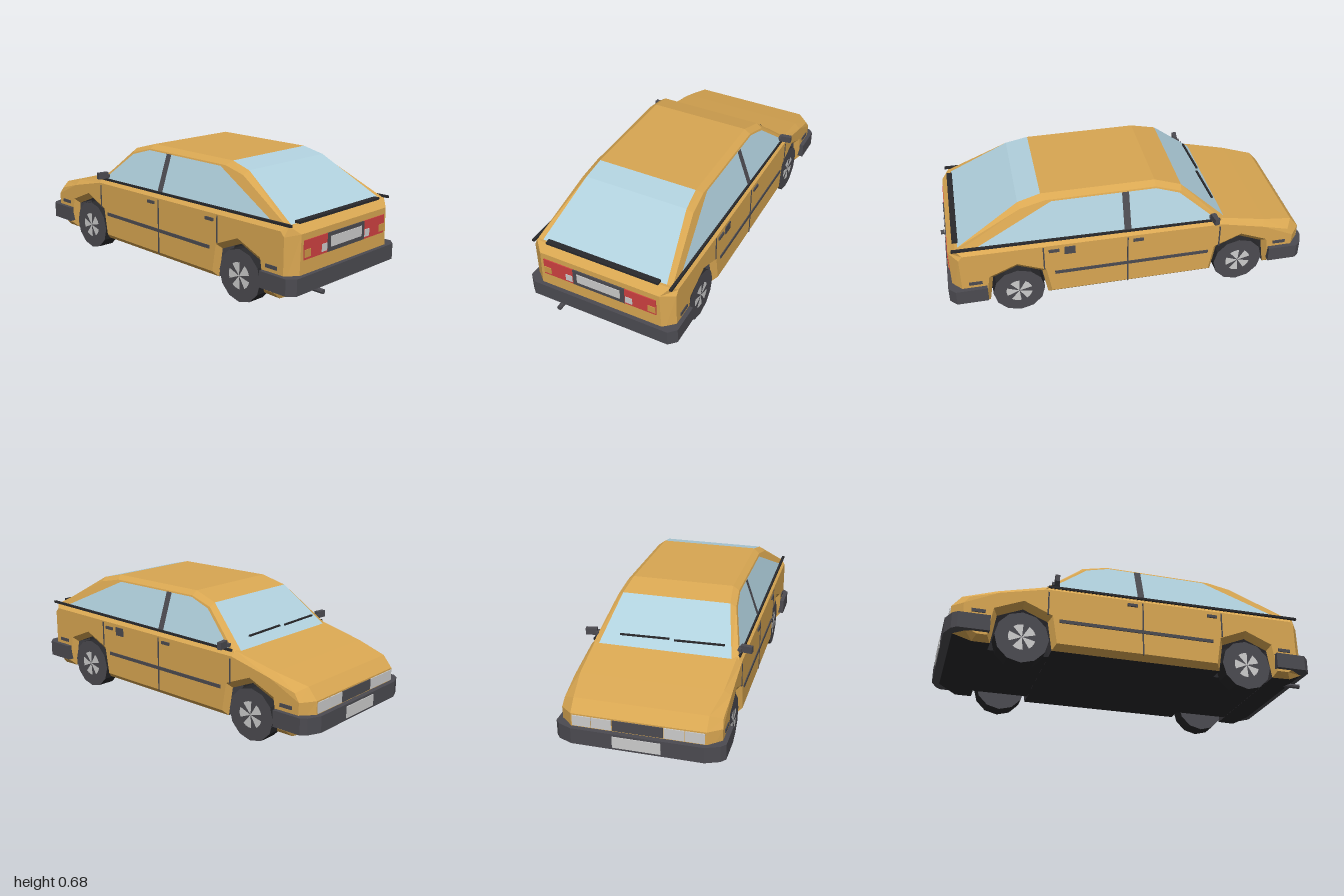
import * as THREE from 'three';

const mat = (name, color) => {
  const m = new THREE.MeshStandardMaterial({ color });
  m.name = name;
  return m;
};

export function createModel() {
  const car = new THREE.Group();
  car.name = 'hatchbackCar';
  const paint = mat('ochrePaint', 0xd9a752);
  const glass = mat('paleBlueGlass', 0xb0d0dd);
  const trim = mat('darkGreyTrim', 0x4c4b51);
  const black = mat('black', 0x29292c);
  const silver = mat('lightGrey', 0xcdcdcd);
  const red = mat('tailRed', 0xcf4141);
  const amber = mat('amber', 0xd09a48);

  const add = (name, geo, material, x = 0, y = 0, z = 0) => {
    const m = new THREE.Mesh(geo, material);
    m.name = name;
    m.position.set(x, y, z);
    car.add(m);
    return m;
  };
  const box = (name, material, w, h, d, x, y, z) =>
    add(name, new THREE.BoxGeometry(w, h, d), material, x, y, z);
  const flat = (geo) => {
    const g = geo.index ? geo.toNonIndexed() : geo;
    g.computeVertexNormals();
    return g;
  };

  // Symmetric shell: a centre outline [z, y, x] chamfered out to a side outline [z, y, x];
  // the material colours the centre strip that starts at each point.
  const shell = (name, rows) => {
    const buckets = new Map();
    const put = (m, ...v) => {
      if (!buckets.has(m)) buckets.set(m, []);
      v.forEach((p) => buckets.get(m).push(...p));
    };
    const ring = (k, s) => rows.map((r) => [s * r[k][2], r[k][1], r[k][0]]);
    const rings = [ring(1, 1), ring(0, 1), ring(0, -1), ring(1, -1)];
    for (let k = 0; k < 3; k++) {
      const P = rings[k], Q = rings[k + 1];
      rows.forEach((r, i) => {
        const j = (i + 1) % rows.length, m = k === 1 ? r[2] : paint;
        put(m, P[i], Q[i], Q[j], P[i], Q[j], P[j]);
      });
    }
    const outline = rows.map((r) => new THREE.Vector2(-r[1][0], r[1][1]));
    for (const [a, b, c] of THREE.ShapeUtils.triangulateShape(outline, [])) {
      put(paint, rings[0][a], rings[0][b], rings[0][c]);
      put(paint, rings[3][a], rings[3][c], rings[3][b]);
    }
    for (const [m, v] of buckets) {
      const g = new THREE.BufferGeometry();
      g.setAttribute('position', new THREE.Float32BufferAttribute(v, 3));
      g.computeVertexNormals();
      add(name + '_' + m.name, g, m);
    }
  };

  // Lower body with wheel arches
  const wheelZ = [0.605, -0.615];
  const arch = (c) => [
    [0.155, 0.09, 0.175, 0.12], [0.13, 0.245, 0.15, 0.272], [0, 0.3, 0, 0.335],
    [-0.13, 0.245, -0.15, 0.272], [-0.155, 0.09, -0.175, 0.12],
  ].map(([a, b, d, e], i) => [[c + a, b, 0.37], [c + d, e, 0.4], i < 4 ? trim : black]);
  shell('body', [
    [[0.91, 0.455, 0.375], [0.88, 0.43, 0.4], paint],
    [[0.95, 0.417, 0.335], [0.9, 0.405, 0.4], paint],
    [[0.95, 0.135, 0.345], [0.9, 0.15, 0.4], black],
    [[0.86, 0.09, 0.375], [0.84, 0.12, 0.4], black],
    ...arch(wheelZ[0]),
    ...arch(wheelZ[1]),
    [[-0.86, 0.09, 0.37], [-0.84, 0.12, 0.4], black],
    [[-0.97, 0.14, 0.335], [-0.91, 0.15, 0.4], paint],
    [[-0.97, 0.285, 0.335], [-0.915, 0.28, 0.4], paint],
    [[-0.92, 0.345, 0.335], [-0.885, 0.32, 0.395], paint],
    [[-0.75, 0.387, 0.365], [-0.74, 0.362, 0.4], paint],
    [[-0.51, 0.442, 0.375], [-0.5, 0.418, 0.4], paint],
  ]);
  for (const z of wheelZ) box('axleTunnel', black, 0.57, 0.2, 0.32, 0, 0.191, z);

  // Cabin with windscreen and rear window
  const sideX = (y) => 0.38 - 0.35 * (y - 0.45);
  const s = (z, y) => [z, y, sideX(y)];
  shell('cabin', [
    [[0.905, 0.45, 0.35], s(0.905, 0.45), paint],
    [[-0.525, 0.435, 0.352], s(-0.505, 0.435), glass],
    [[-0.29, 0.637, 0.29], s(-0.285, 0.617), paint],
    [[-0.15, 0.677, 0.275], s(-0.15, 0.655), paint],
    [[0.45, 0.677, 0.275], s(0.43, 0.655), glass],
    [[0.57, 0.648, 0.285], s(0.56, 0.628), glass],
  ]);

  // Thin panel lying on the sloping cabin side
  const sidePanel = (name, material, side, pts, lift) => {
    const g = new THREE.ShapeGeometry(
      new THREE.Shape(pts.map(([z, y]) => new THREE.Vector2(-side * z, y))));
    const p = g.attributes.position;
    for (let i = 0; i < p.count; i++) {
      const u = p.getX(i), y = p.getY(i);
      p.setXYZ(i, side * (sideX(y) + lift), y, -side * u);
    }
    add(name, flat(g), material);
  };

  for (const side of [1, -1]) {
    sidePanel('sideWindow', glass, side, [
      [0.82, 0.453], [-0.475, 0.443], [-0.275, 0.61], [-0.15, 0.648], [0.4, 0.648], [0.78, 0.472],
    ], 0.003);
    sidePanel('centrePillar', trim, side,
      [[0.032, 0.45], [-0.005, 0.45], [-0.005, 0.65], [0.032, 0.65]], 0.006);
    box('beltTrim', black, 0.014, 0.012, 1.42, side * 0.384, 0.452, 0.22).rotation.x = -0.012;

    // Door gaps, rubbing strips and handles
    for (const [z, y, h] of [[0.465, 0.35, 0.14], [0.017, 0.265, 0.3], [-0.49, 0.34, 0.13]])
      box('doorGap', trim, 0.006, h, 0.007, side * 0.4, y, z);
    for (const [z, d] of [[-0.01, 0.84], [0.827, 0.07], [-0.84, 0.07]])
      box('rubbingStrip', trim, 0.008, 0.018, d, side * 0.401, 0.245, z);
    for (const z of [0.41, -0.04])
      box('doorHandle', trim, 0.012, 0.016, 0.055, side * 0.402, 0.394, z);

    // Door mirror
    box('mirror', trim, 0.06, 0.036, 0.025, side * 0.414, 0.471, -0.452).rotation.y = side * 0.15;
    box('mirrorArm', trim, 0.02, 0.018, 0.04, side * 0.381, 0.465, -0.452);

    // Wheels with pale spoke wedges
    for (const z of wheelZ) {
      const tyre = new THREE.CylinderGeometry(0.138, 0.138, 0.094, 12);
      tyre.rotateZ(Math.PI / 2);
      const g = tyre.toNonIndexed();
      g.clearGroups();
      tyre.groups.forEach((q) => g.addGroup(q.start, q.count, q.materialIndex));
      add('wheel', flat(g), [black, trim, trim], side * 0.337, 0.138, z);
      for (let i = 0; i < 5; i++) {
        const wedge = new THREE.CircleGeometry(0.07, 2, i * Math.PI * 0.4 + 0.25, 0.78);
        wedge.rotateY(side * Math.PI / 2);
        add('wheelSpoke', wedge, silver, side * 0.3865, 0.138, z);
      }
    }

    // Tail lamps and headlamps
    box('tailLamp', red, 0.172, 0.095, 0.008, side * 0.232, 0.337, 0.951);
    box('tailIndicator', amber, 0.042, 0.038, 0.008, side * 0.295, 0.32, 0.954);
    box('reversingLamp', silver, 0.038, 0.038, 0.008, side * 0.17, 0.32, 0.954);
    box('headlamp', silver, 0.1, 0.055, 0.008, side * 0.18, 0.25, -0.971);
    box('sideLamp', silver, 0.094, 0.055, 0.008, side * 0.281, 0.25, -0.971);
  }
  box('fuelCap', trim, 0.008, 0.046, 0.058, 0.401, 0.386, 0.326);

  // Number plate panel, grille and plates
  box('rearPanel', trim, 0.292, 0.095, 0.009, 0, 0.337, 0.952);
  box('rearPlate', silver, 0.244, 0.053, 0.008, 0, 0.339, 0.956);
  box('grille', trim, 0.25, 0.055, 0.008, 0, 0.25, -0.971);
  box('frontPlate', silver, 0.24, 0.06, 0.008, 0, 0.175, -0.996);

  // Wrap-around bumpers
  const bumper = (name, half) => {
    const pts = [...half, ...half.slice().reverse().map(([x, z]) => [-x, z])];
    const g = new THREE.ExtrudeGeometry(
      new THREE.Shape(pts.map(([x, z]) => new THREE.Vector2(x, -z))),
      { depth: 0.084, bevelEnabled: false });
    g.rotateX(-Math.PI / 2);
    add(name, g, trim, 0, 0.133, 0);
  };
  bumper('rearBumper', [[0.423, 0.77], [0.423, 0.935], [0.385, 0.972]]);
  bumper('frontBumper', [[0.423, -0.78], [0.423, -0.94], [0.4, -0.967], [0.33, -0.996]]);

  // Rear lip, wipers and exhaust
  box('rearLip', black, 0.63, 0.012, 0.03, 0, 0.463, 0.907);
  for (const x of [-0.175, 0.115])
    box('wiper', black, 0.26, 0.008, 0.01, x, 0.488, -0.48).rotation.y = 0.04;
  const pipe = new THREE.CylinderGeometry(0.013, 0.013, 0.14, 8);
  pipe.rotateX(Math.PI / 2);
  add('exhaust', flat(pipe), trim, -0.222, 0.122, 0.93);

  return car;
}
